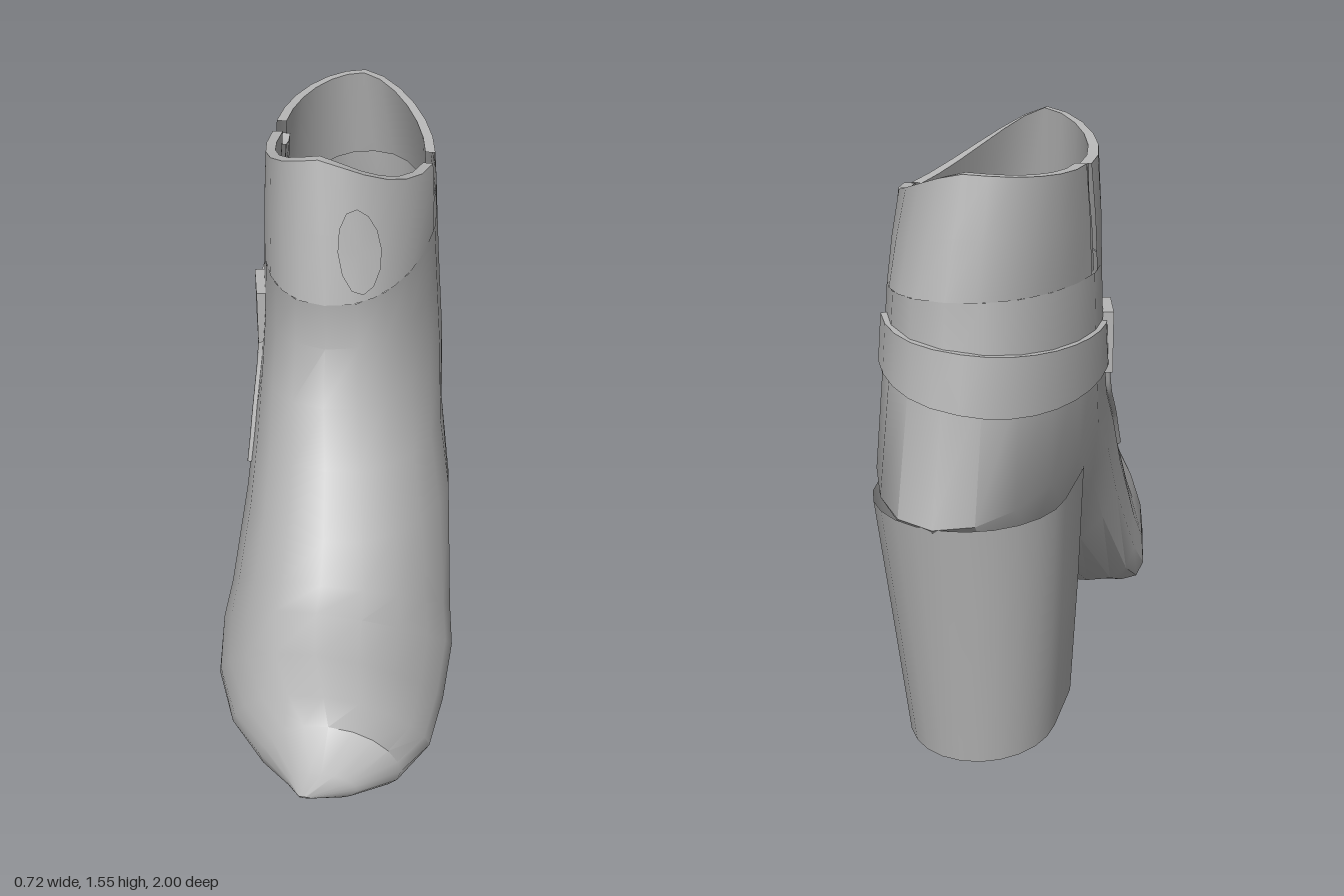
import * as THREE from 'three';
import { toCreasedNormals } from 'three/addons/utils/BufferGeometryUtils.js';

const leather = new THREE.MeshStandardMaterial({ color: 0xb6b6b6, side: THREE.DoubleSide });
leather.name = 'grey leather';

const lerp = THREE.MathUtils.lerp;
const rad = THREE.MathUtils.degToRad;

// Skin a list of rows (top to bottom) of [x, y, z] points
function loft(name, rows, closed = true) {
  const n = rows[0].length, index = [];
  for (let i = 0; i < rows.length - 1; i++) {
    for (let j = 0; j < (closed ? n : n - 1); j++) {
      const k = (j + 1) % n;
      const tl = i * n + j, tr = i * n + k, bl = tl + n, br = tr + n;
      index.push(tl, bl, tr, tr, bl, br);
    }
  }
  const g = new THREE.BufferGeometry();
  g.setAttribute('position', new THREE.Float32BufferAttribute(rows.flat(2), 3));
  g.setIndex(index);
  const mesh = new THREE.Mesh(toCreasedNormals(g, 0.75), leather);
  mesh.name = name;
  return mesh;
}

// Angles in degrees: 0 is the front, 90 the +x side, 180 the back
const sweep = (from, to, steps, fn) =>
  Array.from({ length: steps + 1 }, (_, i) => fn(lerp(from, to, i / steps), i / steps));

// Cross-sections from ankle to toe:
// front y, z | back (or underside) y, z | min x, max x | sag of the widest point
const RINGS = [
  [1.15, 0.08, 1.21, -0.9, -0.315, 0.195, 1],
  [1.0, 0.07, 1.0, -0.925, -0.325, 0.205, 1],
  [0.85, 0.155, 0.68, -1.0, -0.33, 0.225, 0.95],
  [0.7, 0.25, 0.5, -0.86, -0.32, 0.255, 0.75],
  [0.56, 0.39, 0.355, -0.45, -0.325, 0.3, 1.2],
  [0.48, 0.49, 0.07, 0.05, -0.345, 0.34, 2.2],
  [0.435, 0.56, 0.02, 0.18, -0.362, 0.358, 3],
  [0.41, 0.7, 0.045, 0.45, -0.315, 0.358, 3],
  [0.38, 0.82, 0.085, 0.7, -0.215, 0.345, 2.2],
  [0.355, 0.9, 0.125, 0.88, -0.1, 0.285, 1.5],
  [0.25, 0.97, 0.155, 0.96, -0.01, 0.18, 1],
  [0.19, 1.0, 0.18, 0.995, 0.03, 0.06, 1],
];

// Point on the boot surface at ring position s, pushed out sideways by off
function surface(s, deg, off = 0) {
  const i = Math.min(Math.floor(s), RINGS.length - 2);
  const [fy, fz, by, bz, x0, x1, sag] = RINGS[i].map((v, c) => lerp(v, RINGS[i + 1][c], s - i));
  const a = rad(deg), sn = Math.sin(a);
  const p = Math.pow((1 + Math.cos(a)) / 2, sag);
  const half = (x1 - x0) / 2;
  const x = (x0 + x1) / 2 + Math.sign(sn) * Math.pow(Math.abs(sn), 0.9) * half;
  return [x + sn * off, lerp(by, fy, p), lerp(bz, fz, p) + Math.cos(a) * off];
}

// Collar wall: h runs from 0 at the ankle seam to 1 at the slanted rim
function collarPoint(deg, h, inset, drop) {
  const a = rad(deg), sn = Math.sin(a), cs = Math.cos(a);
  const side = Math.pow(Math.abs(sn), 1.4);
  const dip = sn > 0 ? (cs > 0 ? 0.16 : 0.1) : (cs > 0 ? 0.09 : 0.03);
  const rim = [
    -0.055 - 0.035 * Math.abs(cs) + sn * (0.242 - inset),
    (cs > 0 ? 1.55 : 1.5) - side * dip - drop,
    -0.425 + cs * (0.418 - inset),
  ];
  return surface(0, deg, -inset).map((v, c) => lerp(v, rim[c], h));
}

function collarPanel(name, from, to, steps, inset, drop) {
  const layers = [[0, 0.03], [1, 0.03], [1, 0], [0.5, -0.003], [0, 0]];
  return loft(name, layers.map(([h, d]) =>
    sweep(from, to, steps, (deg) => collarPoint(deg, h, inset + d, drop))), false);
}

export function createModel() {
  const boot = new THREE.Group();
  boot.name = 'ankleBoot';

  // Foot and ankle
  const N = 20;
  boot.add(loft('upper', RINGS.map((_, i) => sweep(0, 360 - 360 / N, N - 1, (deg) => surface(i, deg)))));

  // Block heel: flat breast at the front, rounded back, open into the ankle
  const heelRow = (y, x0, x1, z0, z1) => {
    const outline = [[0, 0], [0.92, 0], [1, 0.08], [1, 0.5]];
    for (let i = 1; i < 6; i++) {
      const a = (i / 6) * Math.PI / 2;
      outline.push([Math.cos(a), 0.5 + 0.5 * Math.sin(a)]);
    }
    const mirrored = outline.slice(1).reverse().map(([u, v]) => [-u, v]);
    return [...outline, [0, 1], ...mirrored].map(([u, v]) =>
      [(x0 + x1) / 2 + u * (x1 - x0) / 2, y, lerp(z0, z1, v)]);
  };
  boot.add(loft('heel', [
    heelRow(0.68, -0.315, 0.175, -0.47, -0.995),
    heelRow(0.35, -0.3, 0.145, -0.455, -0.945),
    heelRow(0, -0.28, 0.11, -0.45, -0.9),
    heelRow(0, -0.085, -0.085, -0.68, -0.68),
  ]));

  // Two-panel collar with a lower gusset on each side
  boot.add(collarPanel('frontCollar', -86, 86, 12, 0, 0));
  boot.add(collarPanel('backCollar', 94, 266, 12, 0, 0));
  for (const [name, mid] of [['leftGusset', 90], ['rightGusset', -90]]) {
    boot.add(collarPanel(name, mid - 5, mid + 5, 2, 0.01, 0.04));
  }

  // Oval pull tab on the collar front
  boot.add(loft('pullTab', [1, 0].map((r) => sweep(0, 330, 11, (t) =>
    collarPoint(22 + 13 * r * Math.cos(rad(t)), 0.4 + 0.33 * r * Math.sin(rad(t)), -0.012, 0)))));

  // Ankle strap wrapping the back, sloping down to the buckle
  const strapRows = [[-0.3, -0.005], [-0.3, 0.014], [0.3, 0.014], [0.3, -0.005]].map(([d, off]) =>
    sweep(130, 292, 14, (deg, t) => surface(lerp(0.65, 1.2, t) + d, deg, off)));
  boot.add(loft('ankleStrap', strapRows, false));

  // Buckle frame and tongue on the -x side
  const buckle = new THREE.Group();
  buckle.name = 'buckle';
  const bar = (name, w, h, d, y, z) => {
    const m = new THREE.Mesh(new THREE.BoxGeometry(w, h, d), leather);
    m.name = name;
    m.position.set(0, y, z);
    buckle.add(m);
  };
  for (const s of [-1, 1]) {
    bar('buckleRail', 0.03, 0.03, 0.15, s * 0.07, 0);
    bar('bucklePost', 0.03, 0.17, 0.025, 0, s * 0.065);
  }
  bar('buckleTongue', 0.025, 0.02, 0.14, 0, 0);
  buckle.position.set(-0.312, 0.96, -0.22);
  buckle.rotation.y = 0.25;
  boot.add(buckle);

  // Side zip running down from the buckle
  const zipPath = new THREE.CatmullRomCurve3(
    sweep(1.3, 3.6, 6, (s) => new THREE.Vector3(...surface(s, 292, 0.002))));
  const zip = new THREE.Mesh(new THREE.TubeGeometry(zipPath, 16, 0.01, 6), leather);
  zip.name = 'sideZip';
  boot.add(zip);

  return boot;
}
